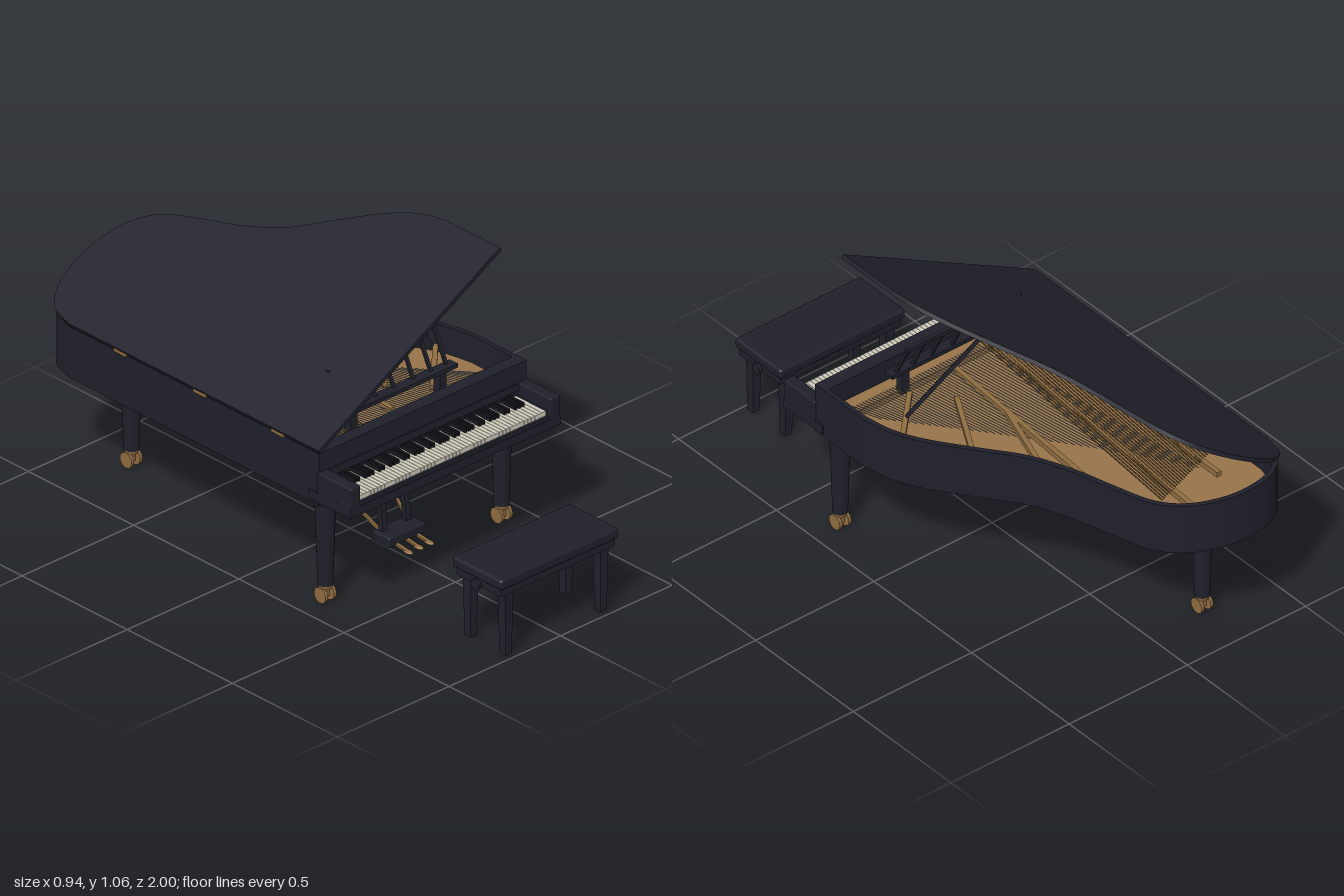
import * as THREE from 'three';
import { toCreasedNormals } from 'three/addons/utils/BufferGeometryUtils.js';
import { RoundedBoxGeometry } from 'three/addons/geometries/RoundedBoxGeometry.js';

const mat = (name, color) => Object.assign(new THREE.MeshStandardMaterial({ color }), { name });
const V = (x, y, z) => new THREE.Vector3(x, y, z);

export function createModel() {
  const ebony = mat('ebony lacquer', 0x20202b);
  const blackKey = mat('black key', 0x15151b);
  const ivory = mat('ivory', 0xcfcabb);
  const wood = mat('soundboard wood', 0x96734a);
  const brass = mat('brass', 0x8f6c40);
  const steel = mat('steel string', 0x85858a);
  const copper = mat('copper string', 0x6b5030);

  const root = new THREE.Group();
  root.name = 'grandPianoWithBench';
  const group = (name, parent = root) => {
    const g = new THREE.Group();
    g.name = name;
    parent.add(g);
    return g;
  };
  const add = (name, geo, material, parent = root, x = 0, y = 0, z = 0) => {
    const m = new THREE.Mesh(geo, material);
    m.name = name;
    m.position.set(x, y, z);
    parent.add(m);
    return m;
  };
  // box given by its limits on each axis
  const box = (name, [x0, x1], [y0, y1], [z0, z1], material, parent) =>
    add(name, new THREE.BoxGeometry(x1 - x0, y1 - y0, z1 - z0), material, parent,
      (x0 + x1) / 2, (y0 + y1) / 2, (z0 + z1) / 2);
  // straight bar between two points
  const bar = (name, a, b, w, h, material, parent) => {
    const m = add(name, new THREE.BoxGeometry(w, h, a.distanceTo(b)), material, parent);
    m.position.copy(a).add(b).multiplyScalar(0.5);
    m.lookAt(b);
    return m;
  };

  // Case outline seen from above (x, -z): bent side, round tail, straight spine
  const bend = new THREE.SplineCurve([
    [0.465, -0.1], [0.442, 0.016], [0.386, 0.13], [0.29, 0.265], [0.185, 0.41], [0.12, 0.56],
    [0.08, 0.7], [0.03, 0.85], [-0.05, 0.94], [-0.16, 0.988], [-0.26, 1], [-0.36, 0.985],
    [-0.435, 0.935], [-0.465, 0.84],
  ].map(([x, y]) => new THREE.Vector2(x, y)));
  const outline = (inset, front) => {
    const pts = [new THREE.Vector2(0.465 - inset, front)];
    for (let i = 0; i <= 80; i++) {
      const t = bend.getTangent(i / 80);
      const p = bend.getPoint(i / 80);
      pts.push(new THREE.Vector2(p.x - t.y * inset, p.y + t.x * inset));
    }
    pts.push(new THREE.Vector2(-0.465 + inset, front));
    return pts;
  };
  const slab = (pts, depth, hole) => {
    const shape = new THREE.Shape(pts);
    if (hole) shape.holes.push(new THREE.Path(hole));
    const geo = new THREE.ExtrudeGeometry(shape, { depth, bevelEnabled: false });
    return toCreasedNormals(geo.rotateX(-Math.PI / 2), 0.6);
  };

  // Case
  const body = group('case');
  add('caseBottom', slab(outline(0, -0.345), 0.04), ebony, body, 0, 0.4, 0);
  add('rim', slab(outline(0, -0.345), 0.15, outline(0.018, -0.295)), ebony, body, 0, 0.44, 0);
  add('soundboard', slab(outline(0.016, -0.29), 0.012), wood, body, 0, 0.478, 0);

  // Iron frame struts and strings
  const inside = group('stringsAndFrame');
  [[-0.3, 0.25, -0.3, -0.8], [-0.18, 0.25, -0.12, -0.9], [0, 0.2, 0.06, -0.68], [0.02, -0.1, 0.14, -0.45],
    [0.1, 0.06, 0.27, -0.24], [0.2, 0.18, 0.4, -0.02]]
    .forEach(([x0, z0, x1, z1]) => bar('frameStrut', V(x0, 0.52, z0), V(x1, 0.52, z1), 0.018, 0.02, brass, inside));
  box('pinBlock', [-0.44, 0.44], [0.49, 0.515], [0.22, 0.29], wood, inside);
  for (let i = 0; i < 44; i++) {
    const t = i / 43;
    bar('steelString', V(-0.14 + 0.54 * t, 0.522, 0.24),
      V(-0.28 + 0.63 * t, 0.51, -0.72 + 0.86 * Math.pow(t, 0.9)), 0.0025, 0.002, steel, inside);
  }
  for (let i = 0; i < 26; i++) {
    const t = i / 25;
    bar('bassString', V(-0.43 + 0.28 * t, 0.53, 0.24), V(-0.34 + 0.28 * t, 0.53, -0.7 - 0.1 * t),
      0.004, 0.003, copper, inside);
  }

  // Raised lid, hinged on the spine
  const lid = group('lid');
  lid.position.set(-0.465, 0.593, 0);
  lid.rotation.z = 0.507;
  add('lidPanel', slab(outline(0, -0.35), 0.015), ebony, lid, 0.465, 0, 0);
  for (const z of [0.15, -0.22, -0.6]) {
    box('lidHinge', [-0.469, -0.455], [0.586, 0.598], [z - 0.03, z + 0.03], brass);
  }
  bar('lidProp', V(0.327, 0.57, 0.04), V(0.216, 0.975, -0.2), 0.014, 0.014, ebony);

  // Keyboard
  const keys = group('keyboard');
  box('keybed', [-0.47, 0.47], [0.412, 0.445], [0.3, 0.5], ebony, keys);
  box('keySlip', [-0.43, 0.43], [0.445, 0.458], [0.487, 0.497], ebony, keys);
  box('fallboard', [-0.43, 0.43], [0.492, 0.52], [0.335, 0.35], ebony, keys);
  for (const s of [-1, 1]) {
    add('cheekBlock', new RoundedBoxGeometry(0.045, 0.08, 0.16, 2, 0.005), ebony, keys, s * 0.4475, 0.481, 0.42);
    box('keyBlock', s < 0 ? [-0.427, -0.416] : [0.416, 0.427], [0.445, 0.474], [0.34, 0.487], ebony, keys);
  }
  const pitch = 0.832 / 52;
  for (let i = 0; i < 52; i++) {
    const x = -0.416 + pitch * i;
    box('whiteKey', [x + 0.0007, x + pitch - 0.0007], [0.452, 0.475], [0.34, 0.487], ivory, keys);
    // the keyboard starts on A: sharps follow A, C, D, F and G
    if (i < 51 && [0, 2, 3, 5, 6].includes(i % 7)) {
      box('blackKey', [x + pitch - 0.0048, x + pitch + 0.0048], [0.47, 0.49], [0.34, 0.415], blackKey, keys);
    }
  }
  box('keyBase', [-0.416, 0.416], [0.445, 0.47], [0.342, 0.485], blackKey, keys);

  // Music desk, leaning back
  const desk = group('musicDesk');
  box('deskLedge', [-0.263, 0.261], [0.596, 0.61], [0.195, 0.235], ebony, desk);
  box('deskTopRail', [-0.243, 0.241], [0.724, 0.739], [0.142, 0.156], ebony, desk);
  for (const x of [-0.236, -0.166, -0.087, -0.002, 0.085, 0.163, 0.232]) {
    bar('deskUpright', V(x, 0.605, 0.21), V(x, 0.73, 0.149), 0.012, 0.01, ebony, desk);
  }
  for (const x of [-0.2, 0.2]) box('deskSlide', [x - 0.015, x + 0.015], [0.51, 0.597], [0.2, 0.23], ebony, desk);

  // Piano legs with twin-wheel casters
  const legProfile = [[0, 0.065], [0.026, 0.065], [0.035, 0.37], [0.047, 0.374], [0.048, 0.4], [0, 0.4]]
    .map(([r, y]) => new THREE.Vector2(r, y));
  const legGeo = toCreasedNormals(new THREE.LatheGeometry(legProfile, 24), 0.5);
  const wheelGeo = new THREE.CylinderGeometry(0.028, 0.028, 0.011, 20).rotateZ(Math.PI / 2);
  const axleGeo = new THREE.CylinderGeometry(0.007, 0.007, 0.04, 10).rotateZ(Math.PI / 2);
  for (const [x, z] of [[-0.395, 0.3], [0.395, 0.3], [-0.228, -0.8]]) {
    const leg = group('pianoLeg');
    leg.position.set(x, 0, z);
    add('legPost', legGeo, ebony, leg);
    add('casterFerrule', new THREE.CylinderGeometry(0.025, 0.022, 0.014, 20), brass, leg, 0, 0.059, 0);
    box('casterFork', [-0.01, 0.01], [0.02, 0.055], [-0.01, 0.01], brass, leg);
    add('casterAxle', axleGeo, brass, leg, 0, 0.029, 0);
    for (const s of [-1, 1]) add('casterWheel', wheelGeo, brass, leg, s * 0.019, 0.029, 0);
  }

  // Pedal lyre
  const lyre = group('pedalLyre');
  add('pedalBox', new RoundedBoxGeometry(0.167, 0.037, 0.085, 2, 0.006), ebony, lyre, 0, 0.083, 0.23);
  for (const s of [-1, 1]) {
    bar('lyrePost', V(s * 0.053, 0.095, 0.213), V(s * 0.053, 0.41, 0.18), 0.022, 0.02, ebony, lyre);
    bar('lyreBrace', V(s * 0.06, 0.1, 0.2), V(s * 0.163, 0.41, -0.22), 0.009, 0.009, brass, lyre);
  }
  for (const x of [-0.047, 0, 0.047]) {
    bar('pedalArm', V(x, 0.07, 0.26), V(x, 0.062, 0.32), 0.012, 0.008, brass, lyre);
    const foot = add('pedalFoot', new THREE.SphereGeometry(0.012, 14, 8), brass, lyre, x, 0.061, 0.325);
    foot.scale.set(1, 0.55, 1.8);
  }

  // Bench
  const bench = group('bench');
  bench.position.z = 0.881;
  add('benchCushion', new RoundedBoxGeometry(0.53, 0.038, 0.236, 3, 0.01), ebony, bench, 0, 0.283, 0);
  box('benchApron', [-0.255, 0.255], [0.235, 0.268], [-0.106, 0.106], ebony, bench);
  const benchLegGeo = new THREE.CylinderGeometry(0.026, 0.02, 0.238, 4, 1).rotateY(Math.PI / 4).toNonIndexed();
  benchLegGeo.computeVertexNormals();
  const knobGeo = new THREE.CylinderGeometry(0.02, 0.02, 0.01, 20).rotateZ(Math.PI / 2);
  const shaftGeo = new THREE.CylinderGeometry(0.007, 0.007, 0.02, 10).rotateZ(Math.PI / 2);
  for (const s of [-1, 1]) {
    add('heightKnob', knobGeo, ebony, bench, s * 0.267, 0.246, 0);
    add('knobShaft', shaftGeo, ebony, bench, s * 0.257, 0.246, 0);
    for (const z of [-0.083, 0.083]) add('benchLeg', benchLegGeo, ebony, bench, s * 0.213, 0.123, z);
  }
  return root;
}
